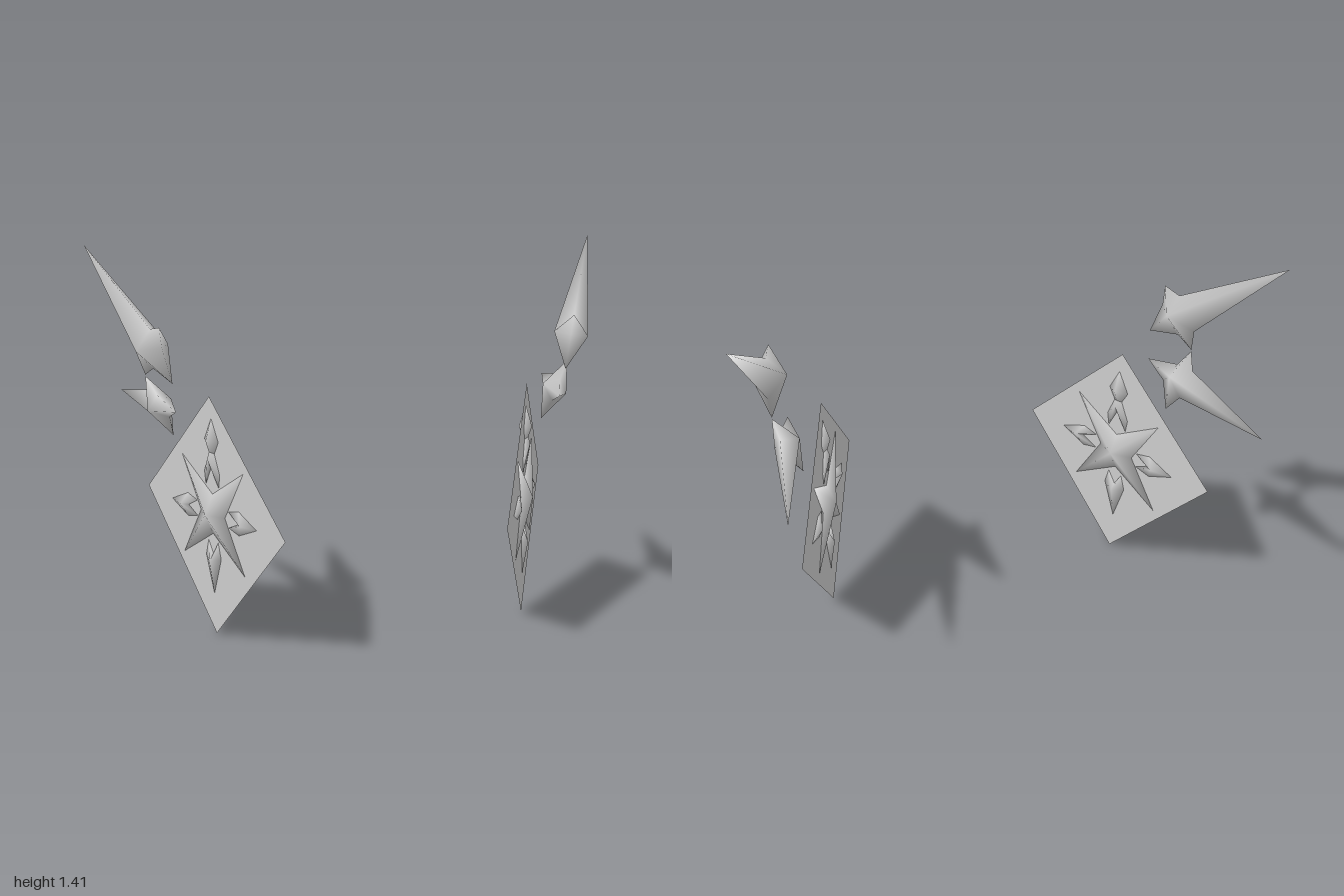
import * as THREE from 'three';

const material = new THREE.MeshStandardMaterial({ color: 0xcccccc, side: THREE.DoubleSide });
const CENTER = [0.12, 0.46]; // emblem centre as [z, y]

// Planes given as x = f(z, y), with their outward normals on the left (+x) side
const panelPlane = { x: (z) => 0.6 - 0.465 * (z - 0.12), n: [1, 0, 0.465] };
const upperPlane = { x: (z, y) => 0.74 + 0.143 * (y - 0.96) - 0.38 * (z - 0.16), n: [1, -0.143, 0.38] };
const lowerPlane = { x: (z, y) => 0.82 + 0.44 * (y - 0.955) - 0.25 * (z + 0.05), n: [1, -0.44, 0.25] };

function mesh(name, positions, index) {
  const g = new THREE.BufferGeometry();
  g.setAttribute('position', new THREE.Float32BufferAttribute(positions, 3));
  g.setIndex(index);
  g.computeVertexNormals();
  const m = new THREE.Mesh(g, material);
  m.name = name;
  return m;
}

// Faceted crystal: a sharp rim of [z, y] points (counter-clockwise from +x)
// closed by an apex on both sides of its plane
function crystal(name, side, plane, rim, apex, half) {
  const n = new THREE.Vector3(...plane.n).normalize();
  const c = new THREE.Vector3(plane.x(...apex), apex[1], apex[0]);
  const points = rim.map(([z, y]) => new THREE.Vector3(plane.x(z, y), y, z));
  points.push(c.clone().addScaledVector(n, half), c.clone().addScaledVector(n, -half));
  const count = rim.length, index = [];
  for (let i = 0; i < count; i++) {
    const j = (i + 1) % count;
    const [a, b] = side > 0 ? [i, j] : [j, i];
    index.push(count, a, b, count + 1, b, a);
  }
  return mesh(name, points.flatMap((p) => [p.x * side, p.y, p.z]), index);
}

// Point at a distance along a direction from the emblem centre, with a sideways offset
function polar(angle, along, across = 0) {
  const c = Math.cos(angle), s = Math.sin(angle);
  return [CENTER[0] - (along * c - across * s), CENTER[1] + along * s + across * c];
}

// Swallow-tailed gem pointing away from the emblem centre
function tailedGem(name, side, angle, tip, wide, tail, notch, halfWidth, tailWidth) {
  const rim = [[tip, 0], [wide, halfWidth], [tail, tailWidth], [notch, 0], [tail, -tailWidth], [wide, -halfWidth]];
  return crystal(name, side, panelPlane, rim.map(([a, b]) => polar(angle, a, b)), polar(angle, notch + 0.025), 0.02);
}

function createSide(side) {
  const group = new THREE.Group();
  group.name = side > 0 ? 'leftSide' : 'rightSide';

  // Thin square panel standing on its corner
  const corners = [[0.11, 0.9], [0.55, 0.46], [0.13, 0], [-0.31, 0.475]];
  group.add(mesh('panel', corners.flatMap(([z, y]) => [panelPlane.x(z) * side, y, z]),
    side > 0 ? [0, 1, 2, 0, 2, 3] : [0, 2, 1, 0, 3, 2]));

  // Four-pointed star in the middle, showing on both faces
  const star = [];
  for (let i = 0; i < 8; i++) star.push(polar(Math.PI / 4 * (i + 1), i % 2 ? 0.075 : 0.271));
  group.add(crystal('star', side, panelPlane, star, CENTER, 0.035));

  // Gems around the star
  const q = Math.PI / 2;
  group.add(tailedGem('backGem', side, 0, 0.265, 0.16, 0.098, 0.155, 0.045, 0.03));
  group.add(tailedGem('frontGem', side, 2 * q, 0.265, 0.16, 0.098, 0.165, 0.045, 0.03));
  group.add(tailedGem('bottomGem', side, 3 * q, 0.307, 0.165, 0.105, 0.155, 0.047, 0.03));
  group.add(tailedGem('topTailGem', side, q, 0.27, 0.155, 0.105, 0.185, 0.048, 0.04));
  const diamond = [[0.36, 0], [0.277, 0.043], [0.2, 0], [0.277, -0.043]];
  group.add(crystal('topDiamond', side, panelPlane, diamond.map(([a, b]) => polar(q, a, b)), polar(q, 0.277), 0.025));

  // Two long-tailed spikes floating above
  group.add(crystal('upperSpike', side, upperPlane, [
    [-0.39, 1.41], [0.055, 1.145], [0.13, 1.16], [0.125, 1.085],
    [0.16, 0.96], [0.025, 0.995], [-0.05, 0.96], [-0.045, 1.035],
  ], [0.045, 1.075], 0.065));
  group.add(crystal('lowerSpike', side, lowerPlane, [
    [-0.54, 0.817], [-0.1, 0.895], [-0.05, 0.955], [-0.015, 0.888],
    [0.135, 0.85], [0.015, 0.81], [-0.06, 0.725], [-0.1, 0.787],
  ], [-0.05, 0.845], 0.05));
  return group;
}

export function createModel() {
  const model = new THREE.Group();
  model.name = 'crystalOrnaments';
  for (const side of [1, -1]) model.add(createSide(side));
  return model;
}
